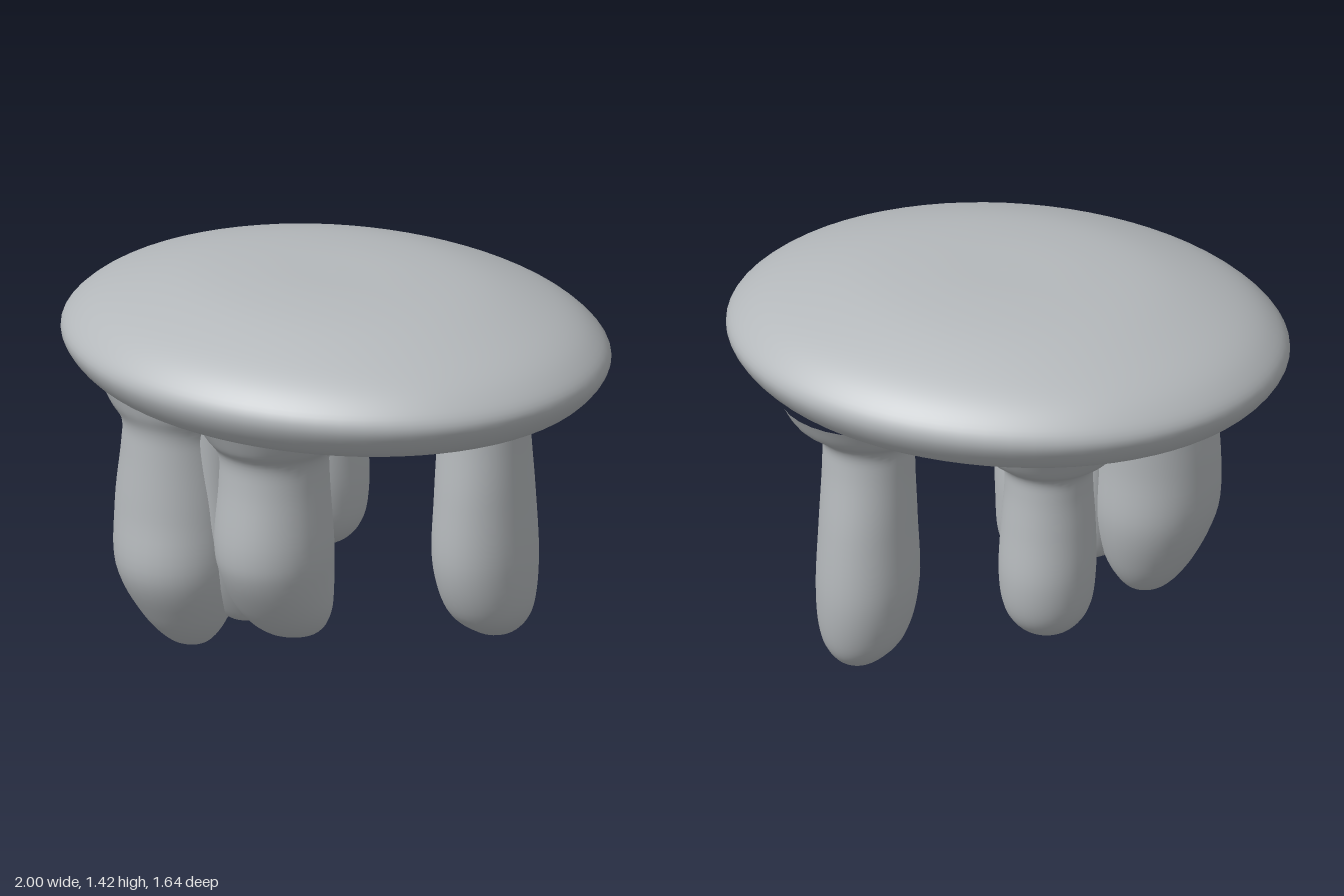
import * as THREE from 'three';

const stone = new THREE.MeshStandardMaterial({ color: 0xb4b8bb });
stone.name = 'grey stone';

// Smooth closed loft through elliptical rings [y, centreX, centreZ, radiusX, radiusZ], listed bottom to top
function loft(name, rings, steps, sides) {
  const centre = new THREE.CatmullRomCurve3(
    rings.map(r => new THREE.Vector3(r[1], r[0], r[2])), false, 'catmullrom', 0.5);
  const radius = new THREE.CatmullRomCurve3(
    rings.map(r => new THREE.Vector3(r[3], r[4], 0)), false, 'catmullrom', 0.5);
  const pos = [], index = [];
  for (let i = 0; i <= steps; i++) {
    const c = centre.getPoint(i / steps), r = radius.getPoint(i / steps);
    for (let j = 0; j < sides; j++) {
      const a = j / sides * Math.PI * 2;
      pos.push(c.x + Math.max(r.x, 0) * Math.cos(a), c.y, c.z + Math.max(r.y, 0) * Math.sin(a));
      if (i < steps) {
        const p = i * sides + j, q = i * sides + (j + 1) % sides;
        index.push(p, p + sides, q, q, p + sides, q + sides);
      }
    }
  }
  const geo = new THREE.BufferGeometry();
  geo.setAttribute('position', new THREE.Float32BufferAttribute(pos, 3));
  geo.setIndex(index);
  geo.computeVertexNormals();
  const mesh = new THREE.Mesh(geo, stone);
  mesh.name = name;
  return mesh;
}

export function createModel() {
  const group = new THREE.Group();
  group.name = 'pebbleTable';

  // Pebble-shaped top: [radius, height]
  const profile = [
    [0, 0.895], [0.3, 0.91], [0.6, 0.96], [0.8, 1.005], [0.93, 1.06], [1, 1.16],
    [0.94, 1.245], [0.8, 1.32], [0.56, 1.39], [0.3, 1.42], [0, 1.425],
  ];
  group.add(loft('tableTop', profile.map(([r, y]) => [y, 0, 0, r, r * 0.82]), 60, 72));

  // Bulbous legs with a rounded tip and a flare where they melt into the top
  group.add(loft('backLeftLeg', [
    [0, 0.42, -0.4, 0, 0], [0.03, 0.42, -0.395, 0.08, 0.09], [0.12, 0.41, -0.37, 0.15, 0.17],
    [0.3, 0.4, -0.355, 0.178, 0.213], [0.55, 0.4, -0.35, 0.17, 0.2], [0.78, 0.4, -0.345, 0.162, 0.172],
    [0.88, 0.4, -0.345, 0.17, 0.175], [0.94, 0.41, -0.35, 0.25, 0.23], [1.02, 0.41, -0.35, 0.3, 0.28],
  ], 48, 32));

  group.add(loft('backRightLeg', [
    [0.22, -0.26, -0.37, 0, 0], [0.25, -0.26, -0.37, 0.09, 0.09], [0.33, -0.26, -0.365, 0.15, 0.155],
    [0.47, -0.26, -0.36, 0.17, 0.18], [0.65, -0.26, -0.35, 0.165, 0.17], [0.8, -0.26, -0.345, 0.155, 0.16],
    [0.88, -0.26, -0.345, 0.165, 0.165], [0.93, -0.26, -0.345, 0.23, 0.22], [1.01, -0.26, -0.345, 0.29, 0.27],
  ], 48, 32));

  group.add(loft('frontRightLeg', [
    [0.06, -0.39, 0.32, 0, 0], [0.09, -0.4, 0.325, 0.08, 0.08], [0.2, -0.41, 0.34, 0.16, 0.165],
    [0.38, -0.425, 0.36, 0.22, 0.235], [0.6, -0.43, 0.355, 0.225, 0.225], [0.82, -0.425, 0.345, 0.21, 0.22],
    [0.92, -0.42, 0.34, 0.215, 0.225], [0.99, -0.42, 0.33, 0.27, 0.26], [1.06, -0.42, 0.32, 0.31, 0.29],
  ], 48, 32));

  group.add(loft('frontMiddleLeg', [
    [0.15, -0.035, 0.26, 0, 0], [0.165, -0.035, 0.26, 0.1, 0.09], [0.25, -0.045, 0.285, 0.165, 0.16],
    [0.4, -0.055, 0.325, 0.195, 0.215], [0.53, -0.06, 0.34, 0.205, 0.225], [0.75, -0.065, 0.335, 0.195, 0.205],
    [0.86, -0.065, 0.335, 0.2, 0.205], [0.92, -0.06, 0.33, 0.245, 0.25], [1, -0.06, 0.32, 0.31, 0.3],
  ], 48, 32));

  // Soft bridge joining the two front legs
  group.add(loft('frontLegBridge', [
    [0.18, -0.21, 0.29, 0, 0], [0.21, -0.21, 0.29, 0.08, 0.07], [0.4, -0.23, 0.32, 0.1, 0.13],
    [0.7, -0.24, 0.33, 0.1, 0.15], [1, -0.24, 0.33, 0.12, 0.18],
  ], 24, 24));

  return group;
}
